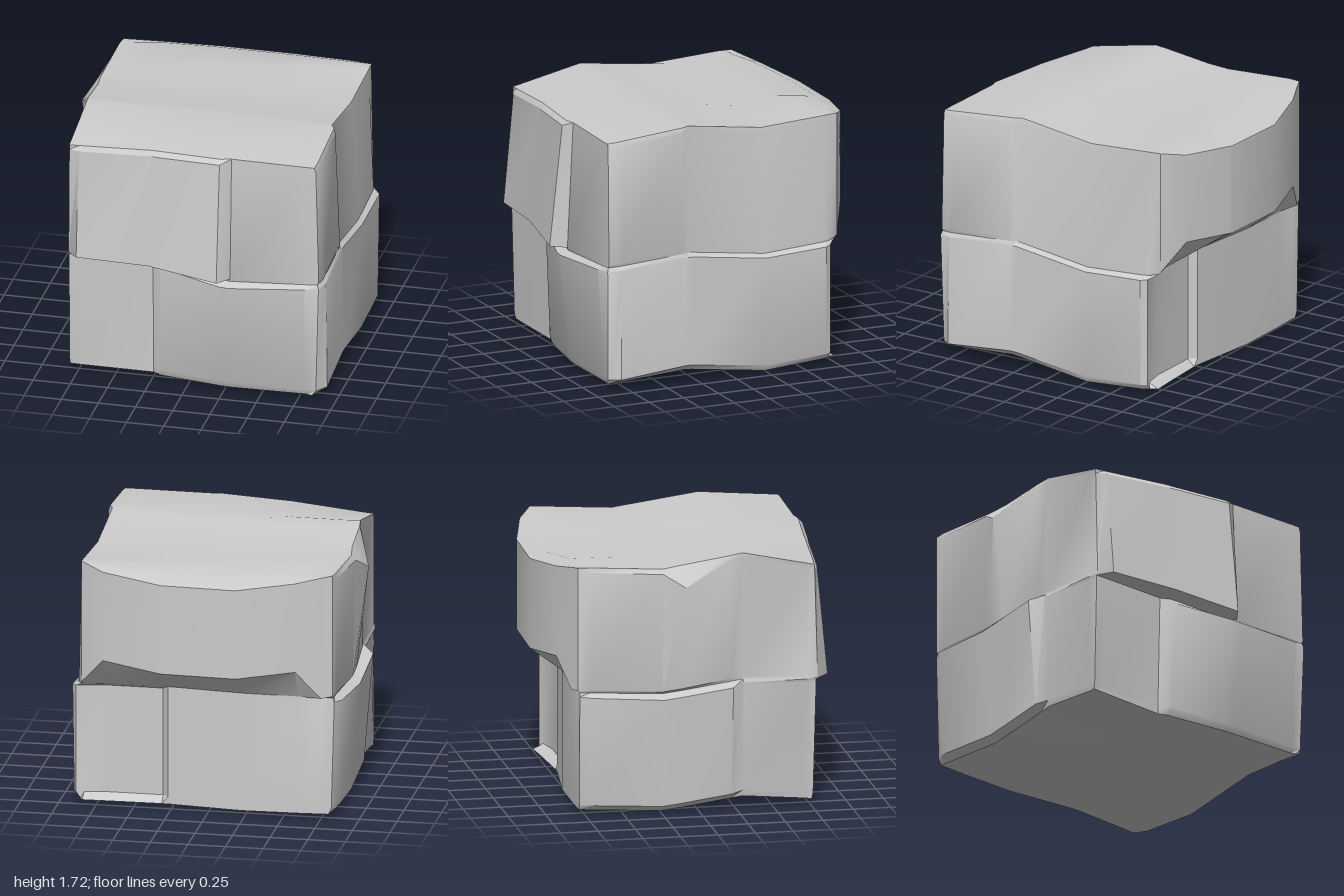
import * as THREE from 'three';
import { toCreasedNormals } from 'three/addons/utils/BufferGeometryUtils.js';

// Piecewise-linear lookup through [position, value] pairs
function lookup(table, t) {
  for (let i = 1; i < table.length; i++) {
    const [a, u] = table[i - 1], [b, v] = table[i];
    if (t <= b) return THREE.MathUtils.lerp(u, v, Math.max(0, (t - a) / (b - a)));
  }
  return table[table.length - 1][1];
}

// Undulation of the courses along the depth, and of the front joint and top edge along the width
const wave = (z) => lookup([[-1, -0.08], [-0.79, 0], [-0.25, -0.035], [0, -0.005], [0.3, 0.04], [0.88, -0.01]], z);
const jointWave = (x) => lookup([[-0.8, 0.015], [-0.25, 0.025], [0.28, -0.02], [0.86, 0.01]], x);
const topWave = (x) => lookup([[-0.8, -0.06], [-0.25, -0.015], [0.25, 0]], x);

// Each side: key positions along it, then its depth at the seven levels, bottom to top.
// Two numbers mean a straight line; seven give the faces of the individual stones.
const sides = {
  front: {
    keys: [-0.81, -0.74, -0.25, -0.19, 0.23, 0.3, 0.8],
    levels: [
      [0.76, 0.76, 0.75, 0.78, 0.84, 0.845, 0.85],
      [0.77, 0.76, 0.75, 0.8, 0.865, 0.87, 0.87],
      [0.79, 0.79, 0.77, 0.83, 0.945, 0.95, 0.91],
      [0.79, 0.79, 0.77, 0.82, 0.88, 0.89, 0.88],
      [0.8, 0.88, 0.92, 0.93, 0.995, 0.9, 0.88],
      [0.78, 0.81, 0.85, 0.86, 0.905, 0.86, 0.87],
      [0.78, 0.785, 0.825, 0.83, 0.875, 0.86, 0.87],
    ],
  },
  right: {
    keys: [0.87, 0.8, 0.33, 0.28, -0.25, -0.68, -0.72],
    levels: [
      [0.84, 0.85, 0.88, 0.89, 0.89, 0.88, 0.86],
      [0.87, 0.93, 0.92, 0.92, 0.91, 0.91, 0.89],
      [0.89, 0.92, 0.91, 0.91, 0.91, 0.92, 0.89],
      [0.88, 0.9, 0.9, 0.88, 0.88, 0.88, 0.87],
      [0.89, 0.91, 0.9, 0.88, 0.88, 0.88, 0.87],
      [0.87, 0.88, 0.87, 0.84, 0.84, 0.84, 0.84],
      [0.86, 0.865, 0.86, 0.835, 0.835, 0.84, 0.84],
    ],
  },
  back: {
    keys: [0.84, 0.68, 0.32, 0.28, -0.22, -0.6, -0.76],
    levels: [
      [-0.77, -0.75, -0.72, -0.72, -0.785, -0.79, -0.79],
      [-0.7, -0.67, -0.67, -0.72, -0.785, -0.79, -0.79],
      [-0.7, -0.67, -0.67, -0.72, -0.785, -0.79, -0.79],
      [-0.77, -0.73, -0.72, -0.72, -0.785, -0.79, -0.78],
      [-0.79, -0.89, -0.98, -0.99, -1, -0.9, -0.83],
      [-0.79, -0.89, -0.98, -0.99, -1, -0.9, -0.83],
      [-0.79, -0.89, -0.98, -0.99, -1, -0.9, -0.83],
    ],
  },
  left: {
    keys: [-0.79, -0.72, -0.24, -0.1, 0.22, 0.3, 0.72],
    levels: [
      [-0.8, -0.8],
      [-0.82, -0.85, -0.85, -0.85, -0.85, -0.81, -0.81],
      [-0.84, -0.88, -0.91, -0.91, -0.91, -0.84, -0.82],
      [-0.83, -0.83],
      [-0.83, -0.84, -0.86, -0.86, -0.84, -0.83, -0.82],
      [-0.83, -0.85, -0.88, -0.94, -0.83, -0.81, -0.8],
      [-0.83, -0.84, -0.85, -0.83, -0.82, -0.81, -0.81],
    ],
  },
};
const N = 7;
const heights = [0.045, 0.08, 0.81, 0.835, 0.855, 1.65, 1.68];

// Height of a point on a level
function heightAt(level, x, z) {
  let y = heights[level] + wave(z);
  if (level > 1 && level < 5 && z > 0.7) y += jointWave(x);
  if (level > 4) y += topWave(x) * THREE.MathUtils.clamp((z - 0.3) / 0.48, 0, 1);
  if (level === 4 && z < -0.85) y += 0.22;
  if (level === 5 && x < -0.9) y -= 0.1;
  if (level === 0) y -= 0.015 * (1 - x * x);
  return y;
}

// Closed outline of one level, anticlockwise seen from above
function ring(level) {
  const points = [];
  for (const [name, { keys, levels }] of Object.entries(sides)) {
    const depths = levels[level];
    keys.forEach((key, i) => {
      const d = depths.length === N ? depths[i] : THREE.MathUtils.lerp(depths[0], depths[1], i / N);
      const alongX = name === 'front' || name === 'back';
      const x = alongX ? key : d, z = alongX ? d : key;
      points.push(new THREE.Vector3(x, heightAt(level, x, z), z));
    });
  }
  // corners take their position from both neighbouring sides
  for (const c of [N, 3 * N]) {
    const p = points[c], previous = points[c - 1];
    p.z = THREE.MathUtils.lerp(p.z, previous.z, 0.3);
    p.y = heightAt(level, p.x, p.z);
  }
  return points;
}

// Patch spanning the four sides of a ring, following the wave
function cap(level, up, emit) {
  const r = ring(level), at = (i) => r[i % r.length];
  const grid = [];
  for (let j = 0; j <= N; j++) {
    const row = [], v = j / N;
    for (let i = 0; i <= N; i++) {
      const u = i / N;
      const p = new THREE.Vector3()
        .addScaledVector(at(i), 1 - v).addScaledVector(at(3 * N - i), v)
        .addScaledVector(at(4 * N - j), 1 - u).addScaledVector(at(N + j), u)
        .addScaledVector(at(0), -(1 - u) * (1 - v)).addScaledVector(at(N), -u * (1 - v))
        .addScaledVector(at(3 * N), -(1 - u) * v).addScaledVector(at(2 * N), -u * v);
      p.y = heightAt(level, p.x, p.z);
      row.push(p);
    }
    grid.push(row);
  }
  for (let j = 0; j < N; j++) for (let i = 0; i < N; i++) {
    const a = grid[j][i], b = grid[j][i + 1], c = grid[j + 1][i + 1], d = grid[j + 1][i];
    if (up) emit(a, b, c, d); else emit(d, c, b, a);
  }
}

// One course of stones: a loft through its levels, with one cap
function course(name, from, to, capLevel) {
  const positions = [];
  const emit = (a, b, c, d) => {
    for (const p of [a, b, c, a, c, d]) positions.push(p.x, p.y, p.z);
  };
  for (let level = from; level < to; level++) {
    const low = ring(level), high = ring(level + 1);
    low.forEach((p, i) => {
      const k = (i + 1) % low.length;
      emit(p, low[k], high[k], high[i]);
    });
  }
  cap(capLevel, capLevel > 0, emit);
  const geometry = new THREE.BufferGeometry();
  geometry.setAttribute('position', new THREE.Float32BufferAttribute(positions, 3));
  const mesh = new THREE.Mesh(
    toCreasedNormals(geometry, 0.55),
    new THREE.MeshStandardMaterial({ color: 0xcccccc }),
  );
  mesh.name = name;
  return mesh;
}

export function createModel() {
  const group = new THREE.Group();
  group.name = 'stoneBlock';
  group.add(course('lowerCourse', 0, 3, 0), course('upperCourse', 3, 6, 6));
  return group;
}
